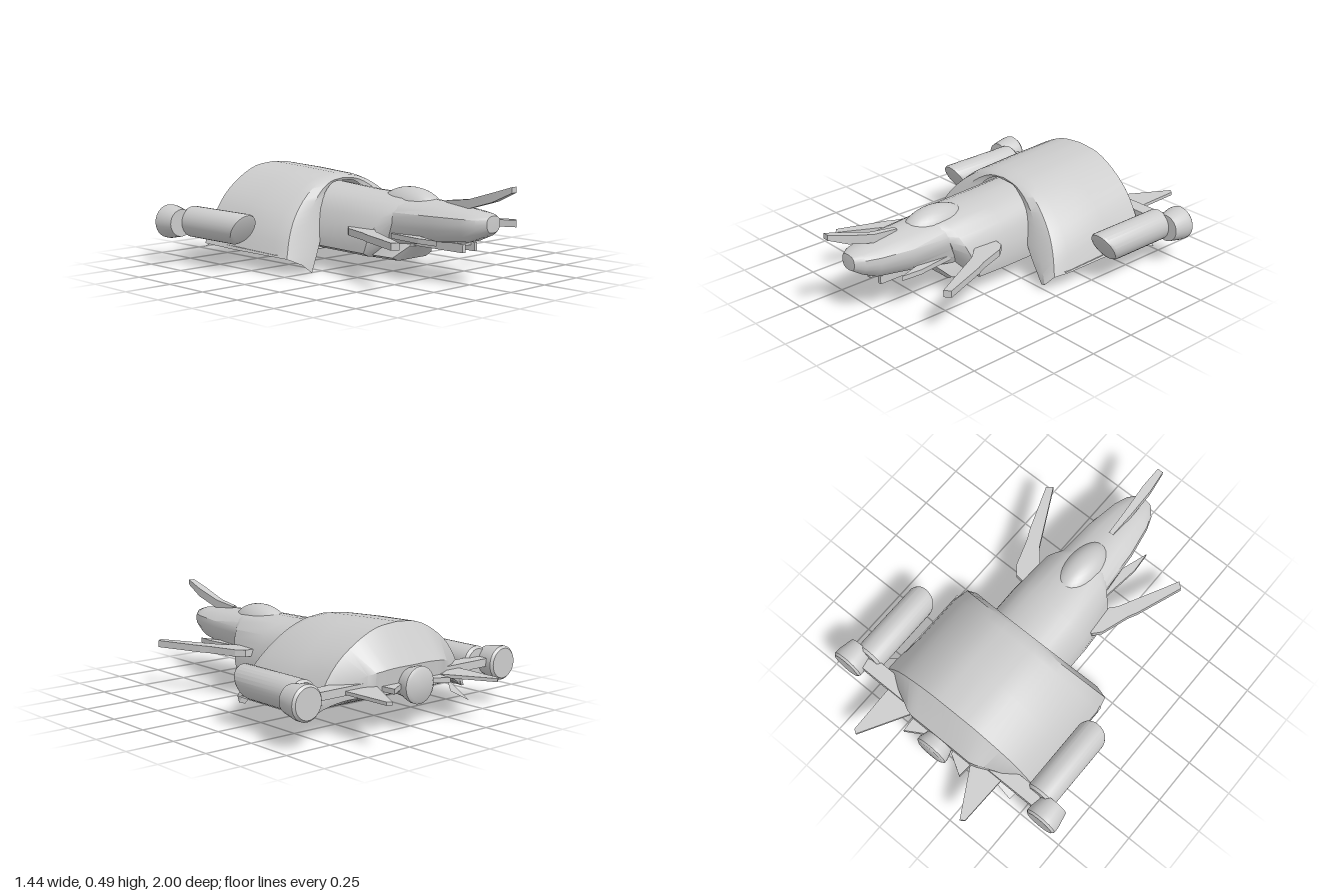
import * as THREE from 'three';
import { toCreasedNormals } from 'three/addons/utils/BufferGeometryUtils.js';

const grey = new THREE.MeshStandardMaterial({ color: 0xcccccc, side: THREE.DoubleSide });

export function createModel() {
  const model = new THREE.Group();

  const add = (name, geometry, x = 0, y = 0, z = 0) => {
    const mesh = new THREE.Mesh(geometry, grey);
    mesh.name = name;
    mesh.position.set(x, y, z);
    model.add(mesh);
    return mesh;
  };

  // Skin over half-profiles [x, y], ordered front to back and mirrored in x.
  // Section: { p: half-profile from the top down, q: its -x half if different, z: number or (x, y) => z }
  const loft = (sections, steps, crease) => {
    const pos = [], index = [], cols = steps * 2 + 1;
    for (const { p, q = p, z } of sections) {
      const halves = [q, p].map((h) => new THREE.CatmullRomCurve3(h.map(([x, y]) => new THREE.Vector3(x, y, 0))));
      for (let j = -steps; j <= steps; j++) {
        const v = halves[j < 0 ? 0 : 1].getPoint(Math.abs(j) / steps);
        const x = Math.sign(j) * v.x;
        pos.push(x, v.y, typeof z === 'function' ? z(x, v.y) : z);
      }
    }
    for (let i = 0; i < sections.length - 1; i++)
      for (let j = 0; j < cols - 1; j++) {
        const a = i * cols + j, b = a + 1, c = a + cols, d = c + 1;
        index.push(a, b, c, b, d, c);
      }
    const g = new THREE.BufferGeometry();
    g.setAttribute('position', new THREE.Float32BufferAttribute(pos, 3));
    g.setIndex(index);
    return toCreasedNormals(g, crease);
  };

  // Flat plate with an outline in [x, z], between two heights
  const plate = (name, outline, y0, y1) => {
    const shape = new THREE.Shape(outline.map(([x, z]) => new THREE.Vector2(x, -z)));
    const g = new THREE.ExtrudeGeometry(shape, { depth: y1 - y0, bevelEnabled: false });
    return add(name, g.rotateX(-Math.PI / 2), 0, y0, 0);
  };

  // Turned part along z from [radius, z] points, back to front
  const turned = (points, sides = 28) => toCreasedNormals(
    new THREE.LatheGeometry(points.map(([r, z]) => new THREE.Vector2(r, z)), sides).rotateX(Math.PI / 2), 0.6);

  // Arched rear shell: front curtain, lip, back, sloping tail and underside
  const tilt = (offset) => (x, y) => offset - 0.28 * y;
  const tail = (z) => (x) => z + 0.5 * Math.max(0, Math.abs(x) - 0.2);
  const floor = (y) => [0, 0.12, 0.22, 0.33, 0.42, 0.485].map((x) => [x, y]);
  add('shell', loft([
    { z: tilt(0.012),
      p: [[0, 0.43], [0.07, 0.425], [0.14, 0.38], [0.20, 0.29], [0.25, 0.18], [0.40, 0.03]],
      q: [[0, 0.43], [0.07, 0.425], [0.14, 0.38], [0.19, 0.29], [0.22, 0.18], [0.33, 0.004]] },
    { z: tilt(0.022),
      p: [[0, 0.445], [0.10, 0.43], [0.20, 0.375], [0.29, 0.28], [0.35, 0.18], [0.43, 0.04]],
      q: [[0, 0.445], [0.10, 0.43], [0.20, 0.37], [0.28, 0.28], [0.32, 0.18], [0.39, 0.05]] },
    { z: tilt(0.002), p: [[0, 0.458], [0.13, 0.44], [0.25, 0.38], [0.36, 0.28], [0.42, 0.19], [0.465, 0.085]] },
    { z: (x, y) => -0.09 - 0.18 * y, p: [[0, 0.465], [0.13, 0.45], [0.25, 0.395], [0.37, 0.295], [0.44, 0.20], [0.485, 0.09]] },
    { z: -0.40, p: [[0, 0.478], [0.13, 0.465], [0.25, 0.41], [0.37, 0.31], [0.435, 0.21], [0.485, 0.09]] },
    { z: (x) => -0.65 + 0.12 * x * x, p: [[0, 0.49], [0.13, 0.475], [0.25, 0.42], [0.36, 0.335], [0.435, 0.23], [0.50, 0.10]] },
    { z: tail(-0.76), p: [[0, 0.30], [0.12, 0.30], [0.22, 0.29], [0.33, 0.25], [0.42, 0.19], [0.485, 0.10]] },
    { z: tail(-0.75), p: [[0, 0.18], [0.12, 0.18], [0.22, 0.18], [0.33, 0.17], [0.42, 0.14], [0.485, 0.10]] },
    { z: -0.55, p: floor(0.11) },
    { z: -0.08, p: floor(0.1) },
  ], 15, 0.6));

  // Neck hull with a raked front, rolled slightly
  const rake = (offset) => (x, y) => offset + 0.4 * y;
  const hull = add('hull', loft([
    { z: rake(0.27), p: Array(7).fill([0, 0.26]) },
    { z: rake(0.27), p: [[0, 0.395], [0.07, 0.385], [0.13, 0.34], [0.155, 0.27], [0.14, 0.18], [0.09, 0.15], [0, 0.15]] },
    { z: rake(0.22), p: [[0, 0.40], [0.09, 0.385], [0.17, 0.33], [0.215, 0.24], [0.23, 0.11], [0.13, 0.088], [0, 0.083]] },
    { z: 0.10, p: [[0, 0.405], [0.10, 0.39], [0.18, 0.34], [0.23, 0.24], [0.24, 0.115], [0.13, 0.093], [0, 0.09]] },
    { z: -0.25, p: [[0, 0.43], [0.10, 0.41], [0.18, 0.35], [0.225, 0.24], [0.24, 0.12], [0.13, 0.1], [0, 0.1]] },
    { z: -0.25, p: Array(7).fill([0, 0.26]) },
  ], 12, 0.7));
  hull.position.x = 0.003;
  hull.rotation.z = -0.04;

  // Lower jaw under the hull front
  add('lowerJaw', loft([
    { z: 0.43, p: Array(5).fill([0, 0.17]) },
    { z: 0.43, p: [[0, 0.18], [0.07, 0.18], [0.08, 0.16], [0.05, 0.155], [0, 0.155]] },
    { z: 0.37, p: [[0, 0.18], [0.12, 0.18], [0.14, 0.10], [0.10, 0.082], [0, 0.082]] },
    { z: 0.22, p: [[0, 0.18], [0.18, 0.18], [0.19, 0.11], [0.12, 0.085], [0, 0.085]] },
  ], 4, 0.4), 0.01);

  // Rounded nose with a blunt tip
  add('nose', loft([
    { z: 0.885, p: Array(6).fill([0, 0.305]) },
    { z: 0.882, p: [[0, 0.345], [0.03, 0.34], [0.045, 0.325], [0.045, 0.29], [0.03, 0.27], [0, 0.265]] },
    { z: 0.84, p: [[0, 0.358], [0.05, 0.348], [0.08, 0.327], [0.08, 0.28], [0.05, 0.245], [0, 0.242]] },
    { z: 0.77, p: [[0, 0.368], [0.06, 0.355], [0.106, 0.328], [0.104, 0.27], [0.07, 0.218], [0, 0.213]] },
    { z: 0.60, p: [[0, 0.385], [0.075, 0.37], [0.135, 0.328], [0.132, 0.26], [0.09, 0.2], [0, 0.195]] },
    { z: 0.34, p: [[0, 0.40], [0.09, 0.382], [0.152, 0.325], [0.152, 0.26], [0.13, 0.17], [0, 0.15]] },
  ], 10, 0.55), 0.01);

  // Cockpit bubble, sunk into the hull
  const bubble = new THREE.SphereGeometry(1, 28, 18);
  add('canopy', bubble, 0.01, 0.33, 0.365).scale.set(0.098, 0.107, 0.19);

  // Blade rising over the nose
  add('noseBlade', loft([
    { z: 1.0, p: [[0, 0.475], [0, 0.475], [0, 0.475], [0, 0.475]] },
    { z: 1.0, p: [[0, 0.49], [0.016, 0.49], [0.016, 0.462], [0, 0.462]] },
    { z: 0.89, p: [[0, 0.455], [0.024, 0.455], [0.024, 0.41], [0, 0.41]] },
    { z: 0.74, p: [[0, 0.41], [0.018, 0.41], [0.018, 0.365], [0, 0.365]] },
    { z: 0.60, p: [[0, 0.392], [0.012, 0.392], [0.012, 0.37], [0, 0.37]] },
  ], 3, 0.3), 0.01);

  // Chin tray below the nose
  add('chinTray', new THREE.BoxGeometry(0.09, 0.012, 0.28), 0.012, 0.193, 0.58);

  for (const s of [-1, 1]) {
    const side = s > 0 ? 'left' : 'right';
    const flip = (pts, shift = 0) => pts.map(([x, z]) => [s * x + shift, z]);

    // Swept front wings, the left one a little higher
    const lift = s > 0 ? 0.014 : -0.002;
    plate(side + 'FrontWing', flip([[0.19, 0.15], [0.25, 0.16], [0.285, 0.20], [0.335, 0.35], [0.36, 0.40], [0.45, 0.645],
      [0.42, 0.67], [0.26, 0.36], [0.19, 0.28]], 0.025), 0.208 + lift, 0.243 + lift);

    // Small fins beside the nose and rails below it
    plate(side + 'NoseFin', flip([[0.12, 0.38], [0.15, 0.38], [0.175, 0.58], [0.167, 0.69], [0.11, 0.52]]), 0.20, 0.225);
    add(side + 'ChinRail', new THREE.BoxGeometry(0.02, 0.042, 0.32), 0.012 + s * 0.042, 0.18, 0.58);

    // Side pods with slanted noses
    const pod = turned([[0, -0.66], [0.068, -0.66], [0.08, -0.645], [0.08, -0.262], [0.074, -0.248], [0.06, -0.243], [0, -0.243]]);
    const p = pod.attributes.position;
    for (let i = 0; i < p.count; i++)
      if (p.getZ(i) > -0.4) p.setZ(i, p.getZ(i) + 0.55 * p.getY(i));
    add(side + 'Pod', toCreasedNormals(pod, 0.6), s * 0.563 + 0.01, 0.217, 0);

    // Flared thrusters behind the pods
    add(side + 'Thruster', turned([[0, -0.76], [0.075, -0.76], [0.086, -0.748], [0.086, -0.72], [0.07, -0.64], [0, -0.64]]),
      s * 0.633, 0.217, 0);

    // Tail spikes
    plate(side + 'TailSpike', flip([[0.37, -0.70], [0.362, -0.98], [0.34, -0.995], [0.20, -0.75], [0.20, -0.70]], 0.014), 0.21, 0.227);
    plate(side + 'TailBarb', flip([[0.06, -0.72], [0.08, -0.77], [0.182, -0.83], [0.19, -0.72]]), 0.20, 0.225);
  }

  // Cross bar carrying the pods
  plate('crossBar', [[-0.60, -0.72], [0.60, -0.72], [0.60, -0.68], [0.50, -0.64], [-0.50, -0.64], [-0.60, -0.68]], 0.205, 0.245);

  // Central thruster
  add('centreThruster', turned([[0, -0.83], [0.075, -0.83], [0.09, -0.82], [0.09, -0.80], [0.07, -0.74], [0.065, -0.68]]), 0.01, 0.215, 0);

  // Loose skirt points at the tail corners
  const skirt = (name, pts) => {
    const g = new THREE.BufferGeometry().setFromPoints(pts.map((a) => new THREE.Vector3(...a)));
    g.computeVertexNormals();
    add(name, g);
  };
  skirt('rightSkirtPoint', [[-0.30, 0.12, -0.72], [-0.45, 0.13, -0.55], [-0.42, 0.055, -0.735]]);
  skirt('leftSkirtPoint', [[0.46, 0.16, -0.65], [0.47, 0.10, -0.52], [0.58, 0.10, -0.62]]);

  return model;
}
